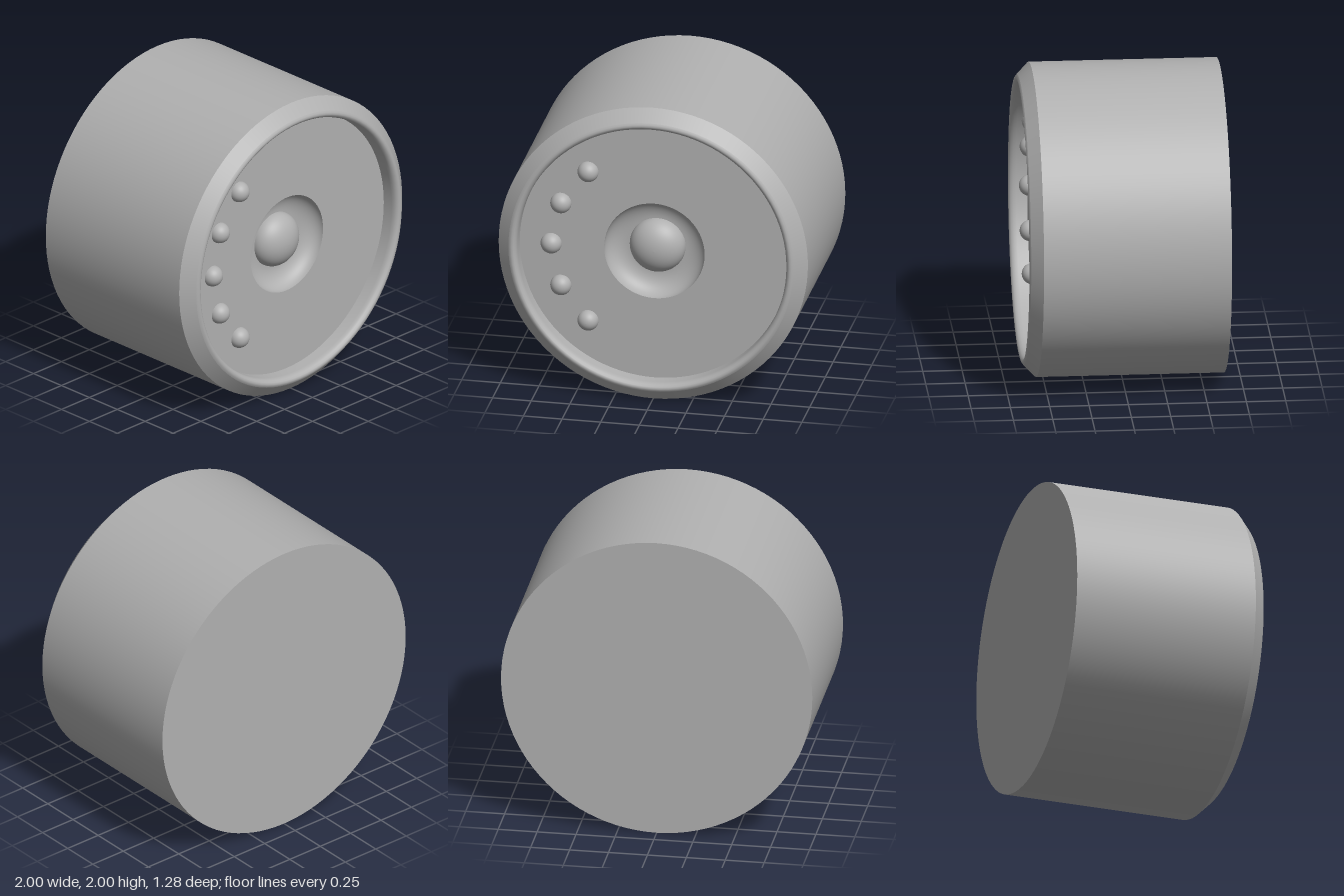
import * as THREE from 'three';

const V = (r, z) => new THREE.Vector2(r, z);

// Quarter ellipse from (r0 + a, z0) inwards to (r0, z0 + h); negative h gives a hollow
function quarter(r0, a, z0, h, steps = 16) {
  return Array.from({ length: steps + 1 }, (_, i) => {
    const t = (i / steps) * Math.PI / 2;
    return V(i === steps ? r0 : r0 + a * Math.cos(t), z0 + h * Math.sin(t));
  });
}

export function createModel() {
  const model = new THREE.Group();
  model.name = 'roundHousing';
  const grey = new THREE.MeshStandardMaterial({ color: 0xb0b0b0 });
  grey.name = 'plain grey';

  // Turned part about the front-to-back axis; profile is [radius, z]
  function turned(name, profile, x = 0, y = 1, segments = 96) {
    const geometry = new THREE.LatheGeometry(profile, segments);
    geometry.rotateX(Math.PI / 2);
    const mesh = new THREE.Mesh(geometry, grey);
    mesh.name = name;
    mesh.position.set(x, y, 0);
    model.add(mesh);
  }

  // Drum body, each surface separate so its edges stay sharp
  turned('backCap', [V(0, -0.64), V(1, -0.64)]);
  turned('drumWall', [V(1, -0.64), V(1, 0.555)]);
  turned('frontChamfer', [V(1, 0.555), V(0.922, 0.63)]);

  // Rounded lip that drops to the recessed face
  turned('roundedLip', [
    V(0.922, 0.63), V(0.912, 0.637), V(0.9, 0.64), V(0.888, 0.636),
    V(0.878, 0.625), V(0.872, 0.61), V(0.87, 0.59), V(0.87, 0.52),
  ]);
  turned('recessedFace', [V(0.87, 0.52), V(0.325, 0.52)]);

  // Central hollow with a domed button
  turned('centreDish', quarter(0.18, 0.145, 0.52, -0.11));
  turned('centreButton', quarter(0, 0.18, 0.41, 0.13));

  // Arc of five small domes
  for (let i = -2; i <= 2; i++) {
    const angle = THREE.MathUtils.degToRad(180 + 25 * i);
    turned('smallDome', quarter(0, 0.068, 0.52, 0.068, 12),
      0.667 * Math.cos(angle), 1 + 0.667 * Math.sin(angle), 32);
  }
  return model;
}
